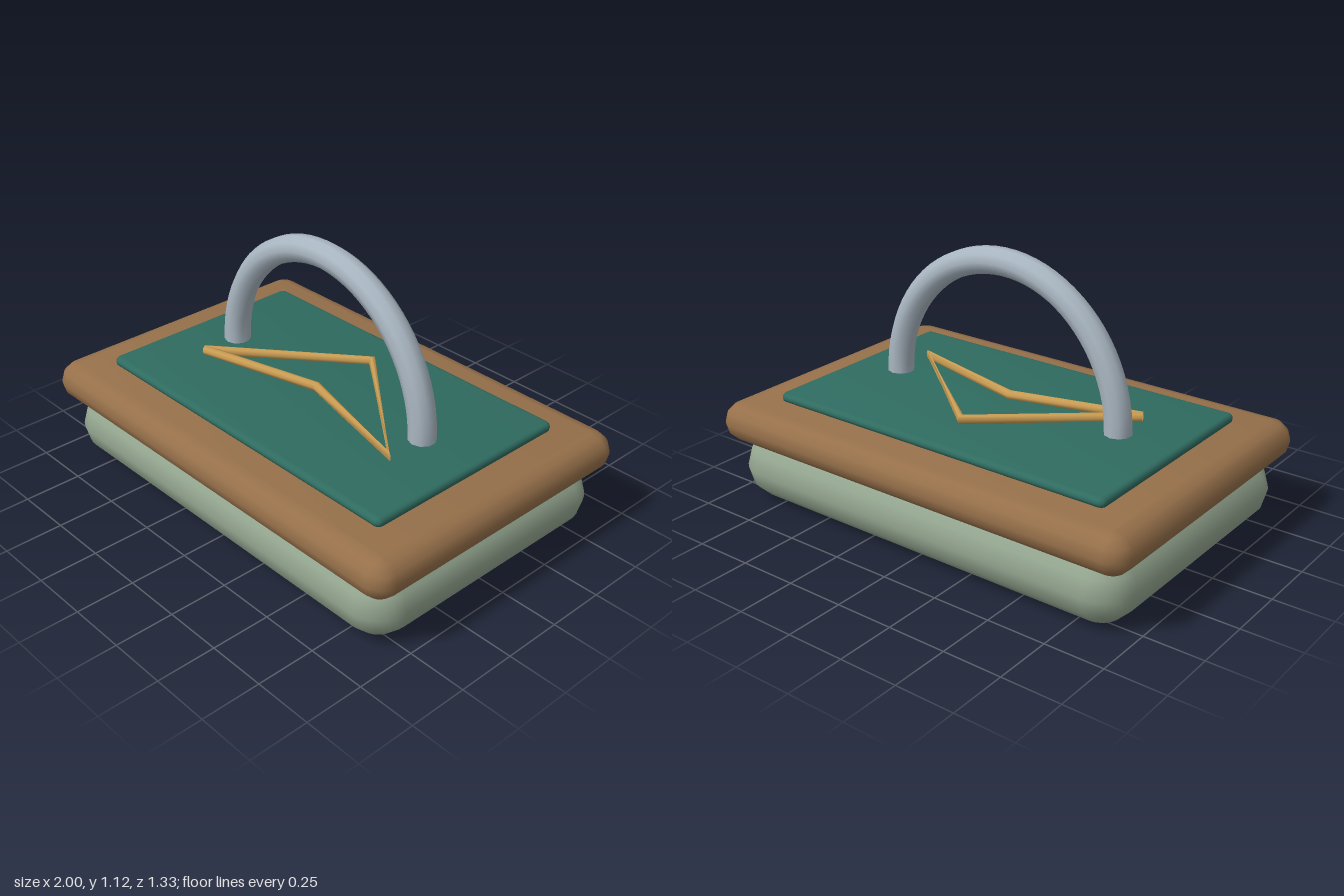
import * as THREE from 'three';
import { toCreasedNormals } from 'three/addons/utils/BufferGeometryUtils.js';

const paint = (name, color, side = THREE.FrontSide) => {
  const m = new THREE.MeshStandardMaterial({ color, side });
  m.name = name;
  return m;
};

// Pillow-edged slab lying flat: full sizes, bottom height and edge rounding
function slab(width, depth, bottom, top, round) {
  const r = 0.008, x = width / 2 - round, z = depth / 2 - round;
  const s = new THREE.Shape();
  s.moveTo(-x + r, -z);
  s.absarc(x - r, -z + r, r, -Math.PI / 2, 0);
  s.absarc(x - r, z - r, r, 0, Math.PI / 2);
  s.absarc(-x + r, z - r, r, Math.PI / 2, Math.PI);
  s.absarc(-x + r, -z + r, r, Math.PI, Math.PI * 1.5);
  const g = new THREE.ExtrudeGeometry(s, {
    depth: top - bottom - 2 * round, curveSegments: 4,
    bevelThickness: round, bevelSize: round, bevelSegments: 3,
  });
  g.rotateX(-Math.PI / 2);
  g.translate(0, bottom + round, 0);
  return toCreasedNormals(g, 0.6);
}

// Closed rod through corners [x, z, widthDirX, widthDirZ], round in section
function cornerRod(corners, y, r, sides) {
  const pos = [], idx = [], n = corners.length;
  for (const [x, z, dx, dz] of corners) {
    for (let j = 0; j < sides; j++) {
      const a = (j / sides) * Math.PI * 2, c = Math.cos(a) * r;
      pos.push(x + dx * c, y + Math.sin(a) * r, z + dz * c);
    }
  }
  for (let i = 0; i < n; i++) {
    for (let j = 0; j < sides; j++) {
      const a = i * sides + j, b = i * sides + (j + 1) % sides;
      const c = ((i + 1) % n) * sides + j, d = ((i + 1) % n) * sides + (j + 1) % sides;
      idx.push(a, b, c, b, d, c);
    }
  }
  const g = new THREE.BufferGeometry();
  g.setAttribute('position', new THREE.Float32BufferAttribute(pos, 3));
  g.setIndex(idx);
  return toCreasedNormals(g, 0.9);
}

// Half-ellipse path for the handle
class Arch extends THREE.Curve {
  getPoint(t, out = new THREE.Vector3()) {
    const a = Math.PI * (1 - t);
    return out.set(0.555 * Math.cos(a), 0.487 + 0.587 * Math.sin(a), 0);
  }
}

export function createModel() {
  const group = new THREE.Group();
  const add = (name, geometry, material) => {
    const mesh = new THREE.Mesh(geometry, material);
    mesh.name = name;
    group.add(mesh);
  };

  // Stacked slabs
  add('cushion', slab(1.92, 1.26, 0.005, 0.3, 0.146), paint('sage', 0x93a58f));
  add('board', slab(2, 1.333, 0.27, 0.437, 0.082), paint('wood', 0x96704a));
  add('panel', slab(1.61, 0.965, 0.43, 0.472, 0.019), paint('deep green', 0x2f6b60));

  // Arched handle
  add('handle', new THREE.TubeGeometry(new Arch(), 40, 0.057, 10),
    paint('steel', 0xa9b6c1, THREE.DoubleSide));

  // Arrowhead ornament, thinning toward the left tip
  const corners = [
    [-0.555, 0.183, 0.45, 0.89],
    [0, -0.277, 0, 1],
    [0.56, 0.186, 0.9, 0.44],
    [0, 0.04, 0, 1],
  ];
  add('ornament', cornerRod(corners, 0.495, 0.02, 8),
    paint('brass', 0xc89b52, THREE.DoubleSide));
  return group;
}
